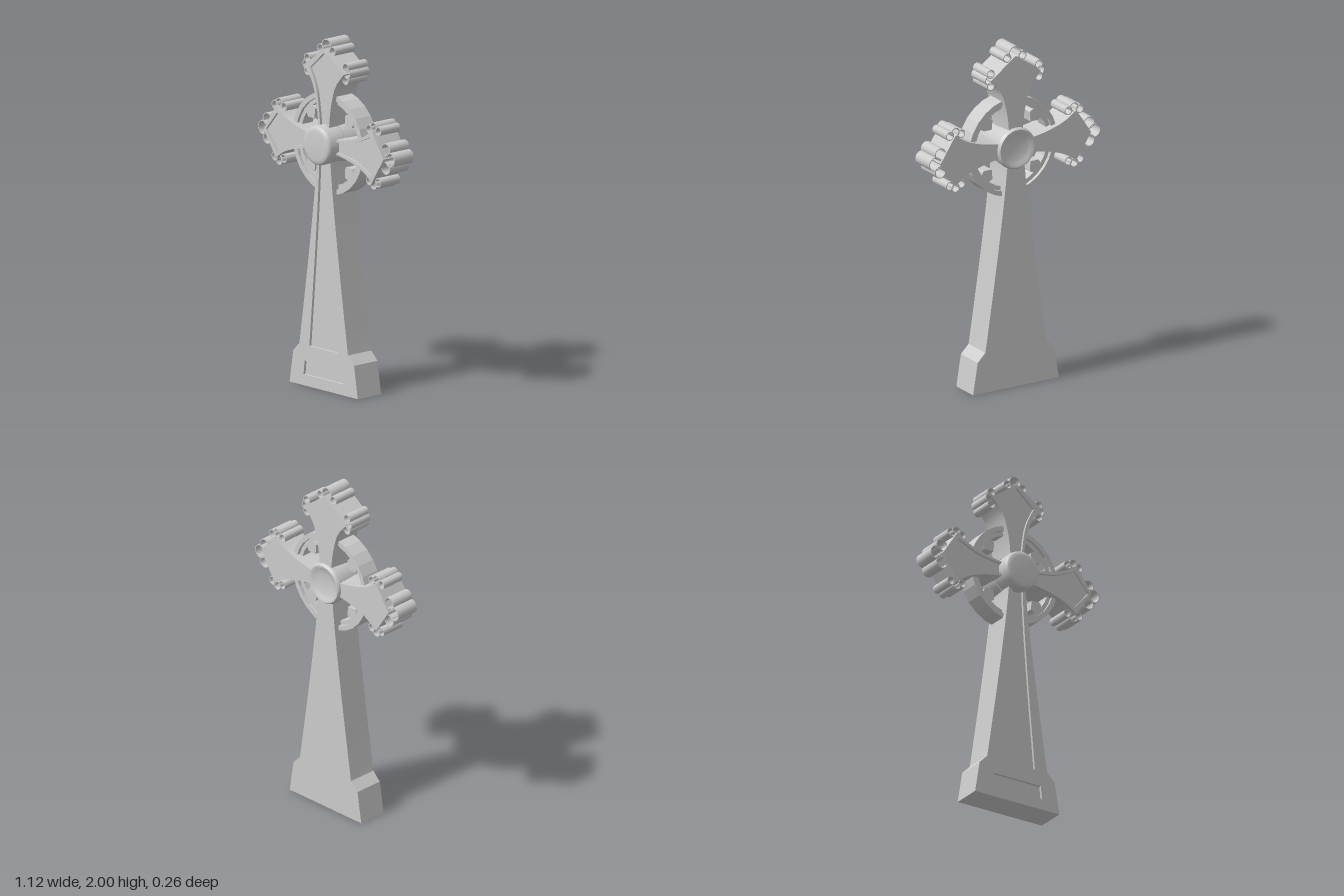
import * as THREE from 'three';
import { toCreasedNormals } from 'three/addons/utils/BufferGeometryUtils.js';

const CY = 1.403; // height of the crossing
const V = (x, y) => new THREE.Vector2(x, y);

export function createModel() {
  const group = new THREE.Group();
  const mat = new THREE.MeshStandardMaterial({ color: 0xcccccc, side: THREE.DoubleSide });

  function add(name, geo, crease = 0.5) {
    const mesh = new THREE.Mesh(toCreasedNormals(geo, crease), mat);
    mesh.name = name;
    group.add(mesh);
    return mesh;
  }
  function slab(name, shape, z0, z1) {
    const geo = new THREE.ExtrudeGeometry(shape, { depth: z1 - z0, bevelEnabled: false, curveSegments: 24 });
    geo.translate(0, 0, z0);
    return add(name, geo);
  }
  // lathe turned so that its axis is z; profile entries are [radius, z]
  function turned(name, profile, segments, x, y, crease) {
    const geo = new THREE.LatheGeometry(profile.map(([r, z]) => V(r, z)), segments);
    geo.rotateX(Math.PI / 2);
    geo.translate(x, y, 0);
    return add(name, geo, crease);
  }
  const smooth = (pts, n = 10) =>
    new THREE.SplineCurve(pts.map(([x, y]) => V(x, y))).getPoints(n);
  // mirror a right-hand half outline (listed bottom to top) into a closed one
  const mirrored = half => [...half, ...half.slice().reverse().filter(p => p.x > 1e-4).map(p => V(-p.x, p.y))];

  // Outline of the whole cross, right half from foot to tip
  const armLow = smooth([[0.06, CY - 0.04], [0.13, CY - 0.046], [0.22, CY - 0.064], [0.32, CY - 0.098], [0.395, CY - 0.148]]);
  const armHigh = armLow.map(p => V(p.x, 2 * CY - p.y)).reverse();
  const cross = mirrored([
    V(0.28, 0), V(0.25, 0.185), V(0.2, 0.235),
    ...smooth([[0.197, 0.25], [0.126, 0.73], [0.077, 1.1], [0.056, 1.3]]),
    ...armLow, V(0.492, CY), ...armHigh,
    ...smooth([[0.045, 1.5], [0.052, 1.58], [0.07, 1.67], [0.1, 1.752], [0.165, 1.828]]),
    V(0, 1.945),
  ]);

  // Sunk panel following the arms, one connected recess below the boss
  const panelLow = smooth([[0.04, CY - 0.026], [0.13, CY - 0.032], [0.24, CY - 0.05], [0.31, CY - 0.075], [0.384, CY - 0.11]]);
  const panelHigh = panelLow.map(p => V(p.x, 2 * CY - p.y)).reverse();
  const panel = mirrored([
    V(0.118, 0.232),
    ...smooth([[0.117, 0.24], [0.074, 0.73], [0.046, 1.1], [0.036, 1.3]]),
    ...panelLow, V(0.476, CY), ...panelHigh,
    ...smooth([[0.028, 1.5], [0.036, 1.58], [0.052, 1.68], [0.075, 1.75], [0.112, 1.822]]),
    V(0, 1.922),
  ]);
  const basePanel = [V(-0.165, 0.063), V(0.165, 0.063), V(0.157, 0.142), V(-0.157, 0.142)];

  // Main body, with a bore for the dish at the back
  const body = new THREE.Shape(cross);
  body.holes.push(new THREE.Path(Array.from({ length: 32 }, (_, i) => {
    const a = -i / 32 * Math.PI * 2;
    return V(Math.cos(a) * 0.035, CY + Math.sin(a) * 0.035);
  })));
  slab('crossBody', body, -0.11, 0.05);
  const frame = new THREE.Shape(cross);
  frame.holes.push(new THREE.Path(panel), new THREE.Path(basePanel));
  slab('raisedFrame', frame, 0.05, 0.065);

  // Domed boss in front
  turned('centreBoss', [[0.111, 0], [0.112, 0.105], [0.108, 0.118], [0.098, 0.125], [0.08, 0.127], [0, 0.128]].reverse(), 40, 0, CY, 0.7);
  // Shallow dish at the back, standing proud of the body
  turned('backDish', [[0.113, 0], [0.122, -0.105], [0.12, -0.118], [0.112, -0.128], [0.102, -0.128],
    [0.09, -0.121], [0.065, -0.115], [0.035, -0.1115], [0, -0.1105]], 40, 0, CY, 0.7);

  // Stepped ring between the arms
  turned('wheelRing', [[0.238, -0.06], [0.262, -0.06], [0.262, -0.08], [0.29, -0.08],
    [0.29, 0.035], [0.262, 0.035], [0.262, 0.018], [0.238, 0.018], [0.238, -0.06]], 28, 0, CY, 0.1);

  // Square cusps on the inside of the ring
  for (const sx of [1, -1]) for (const sy of [1, -1]) {
    const side = [[0.127, 0.117], [0.178, 0.117], [0.187, 0.128], [0.193, 0.145], [0.205, 0.152]];
    const pts = [...side, ...side.slice(1).reverse().map(([x, y]) => [y + 0.005, x - 0.005])];
    slab('ringCusp', new THREE.Shape(pts.map(([x, y]) => V(sx * x, CY + sy * y))), -0.06, 0.018);
  }

  // Clusters of hollow tubes on the tips and shoulders: [x, y, radius]
  const tube = ([x, y, r]) => {
    const w = r - 0.005;
    turned('trefoilTube', [[w, -0.1], [r, -0.1], [r, 0.045], [w, 0.045], [w, -0.1]], 20, x, y, 0.6);
  };
  tube([0, 1.962, 0.038]);
  for (const s of [1, -1]) {
    [[0.05, 1.938, 0.026], [0.168, 1.828, 0.027], [0.158, 1.864, 0.026], [0.157, 1.792, 0.026],
      [0.52, CY, 0.041]].forEach(([x, y, r]) => tube([s * x, y, r]));
    for (const t of [1, -1]) {
      [[0.487, 0.053, 0.036], [0.388, 0.164, 0.027], [0.35, 0.148, 0.025], [0.424, 0.147, 0.026]]
        .forEach(([x, dy, r]) => tube([s * x, CY + t * dy, r]));
    }
  }
  return group;
}
